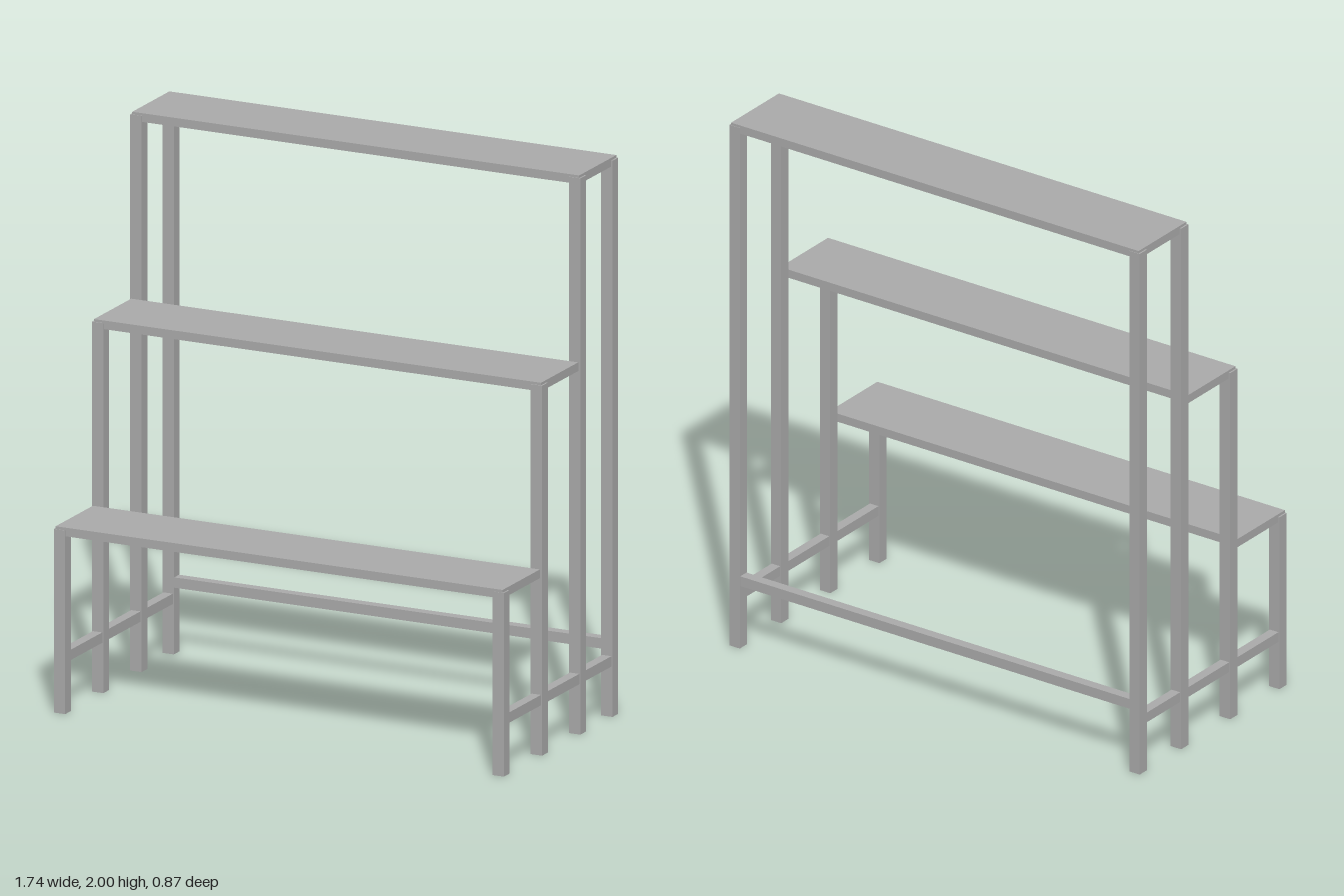
import * as THREE from 'three';

export function createModel() {
  const model = new THREE.Group();
  model.name = 'tieredShelf';
  const grey = new THREE.MeshStandardMaterial({ color: 0xaaaaaa });
  grey.name = 'grey';

  // Box given by its extents along each axis
  function bar(name, [x0, x1], [y0, y1], [z0, z1]) {
    const mesh = new THREE.Mesh(new THREE.BoxGeometry(x1 - x0, y1 - y0, z1 - z0), grey);
    mesh.position.set((x0 + x1) / 2, (y0 + y1) / 2, (z0 + z1) / 2);
    mesh.name = name;
    model.add(mesh);
  }

  const inner = 0.824, outer = 0.868;

  // Three stepped boards
  const boards = [
    ['lowerShelf', 0.667, [0.148, 0.431]],
    ['middleShelf', 1.333, [-0.142, 0.14]],
    ['upperShelf', 2, [-0.431, -0.149]],
  ];
  for (const [name, top, z] of boards) bar(name, [-0.862, 0.862], [top - 0.031, top], z);

  // Four legs and a low rail on each side
  const legs = [
    ['frontLeg', 0.657, [0.39, 0.433]],
    ['secondLeg', 1.324, [0.1, 0.144]],
    ['thirdLeg', 1.991, [-0.189, -0.146]],
    ['backLeg', 1.991, [-0.433, -0.39]],
  ];
  for (const side of [-1, 1]) {
    const label = side > 0 ? 'Left' : 'Right';
    const span = (a, b) => (side > 0 ? [a, b] : [-b, -a]);
    for (const [name, top, z] of legs) bar(name + label, span(inner, outer), [0, top], z);
    for (let i = 0; i < 3; i++) {
      bar('sideRail' + label, span(inner + 0.004, outer - 0.004), [0.18, 0.217], [legs[i + 1][2][1], legs[i][2][0]]);
    }
  }

  // Long rail joining the back legs
  bar('backRail', [-inner, inner], [0.238, 0.275], [-0.43, -0.393]);

  return model;
}
